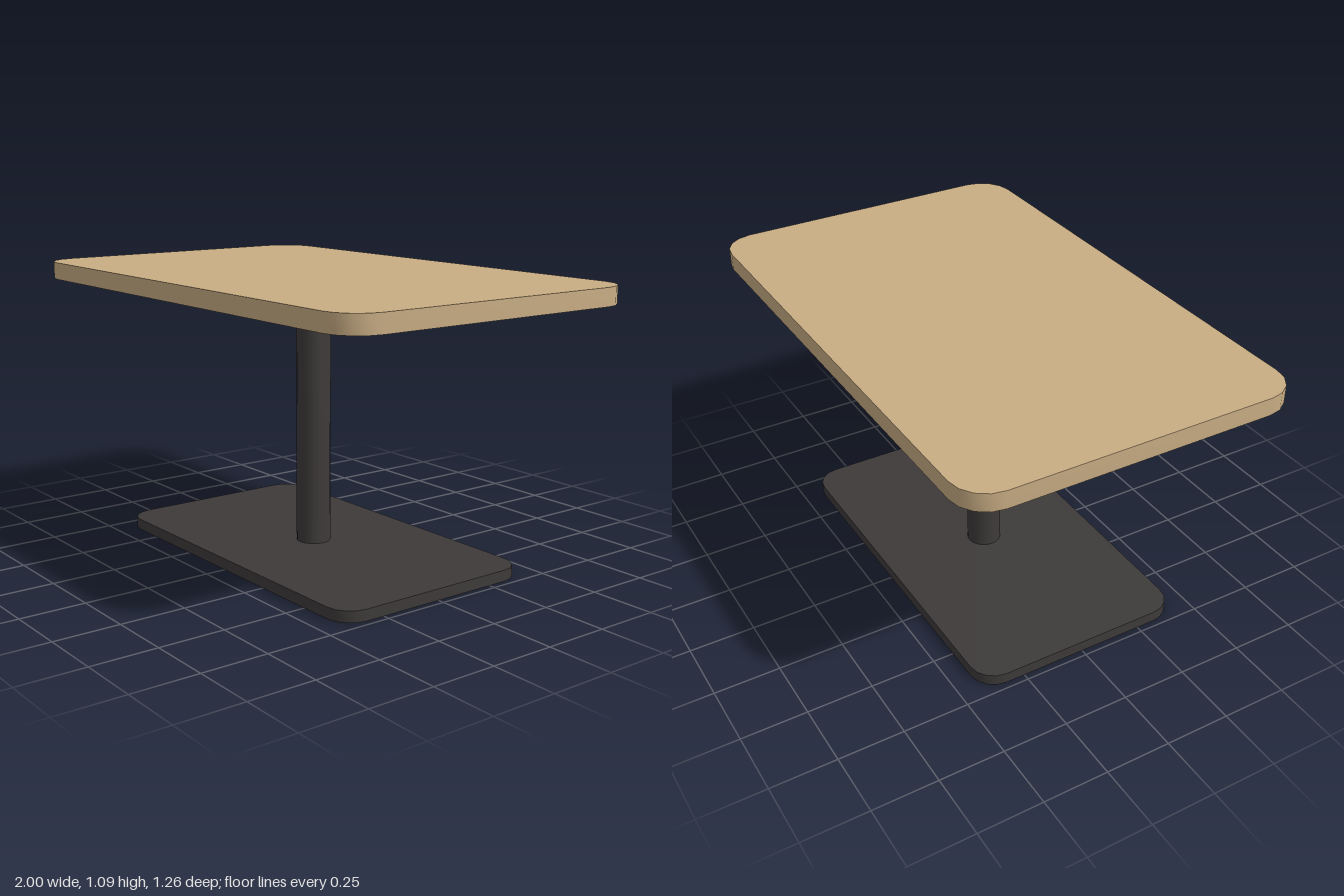
import * as THREE from 'three';
import { toCreasedNormals } from 'three/addons/utils/BufferGeometryUtils.js';

// Flat slab with bevelled-round corners (two segments each), lying on y = bottom
function slab(name, halfX, halfZ, radius, bottom, height, material) {
  const s = new THREE.Shape();
  const x = halfX - radius, z = halfZ - radius;
  s.absarc(x, z, radius, 0, Math.PI / 2);
  s.absarc(-x, z, radius, Math.PI / 2, Math.PI);
  s.absarc(-x, -z, radius, Math.PI, Math.PI * 1.5);
  s.absarc(x, -z, radius, Math.PI * 1.5, Math.PI * 2);
  s.closePath();
  const extruded = new THREE.ExtrudeGeometry(s, { depth: height, bevelEnabled: false, curveSegments: 2 });
  extruded.rotateX(-Math.PI / 2).translate(0, bottom, 0);
  const mesh = new THREE.Mesh(toCreasedNormals(extruded, Math.PI / 6), material);
  mesh.name = name;
  return mesh;
}

export function createModel() {
  const wood = new THREE.MeshStandardMaterial({ color: 0xc9ad84 });
  wood.name = 'light wood';
  const metal = new THREE.MeshStandardMaterial({ color: 0x3e3a3a });
  metal.name = 'dark metal';

  const baseHeight = 0.043, topBottom = 1.025, topHeight = 0.067;
  const group = new THREE.Group();
  group.name = 'pedestalTable';

  // Base plate and tabletop
  group.add(slab('basePlate', 0.725, 0.42, 0.095, 0, baseHeight, metal));
  group.add(slab('tabletop', 1, 0.628, 0.128, topBottom, topHeight, wood));

  // Round column between them
  const length = topBottom - baseHeight;
  const column = new THREE.Mesh(new THREE.CylinderGeometry(0.066, 0.066, length, 20), metal);
  column.name = 'column';
  column.position.set(0.005, baseHeight + length / 2, 0.005);
  group.add(column);

  return group;
}
